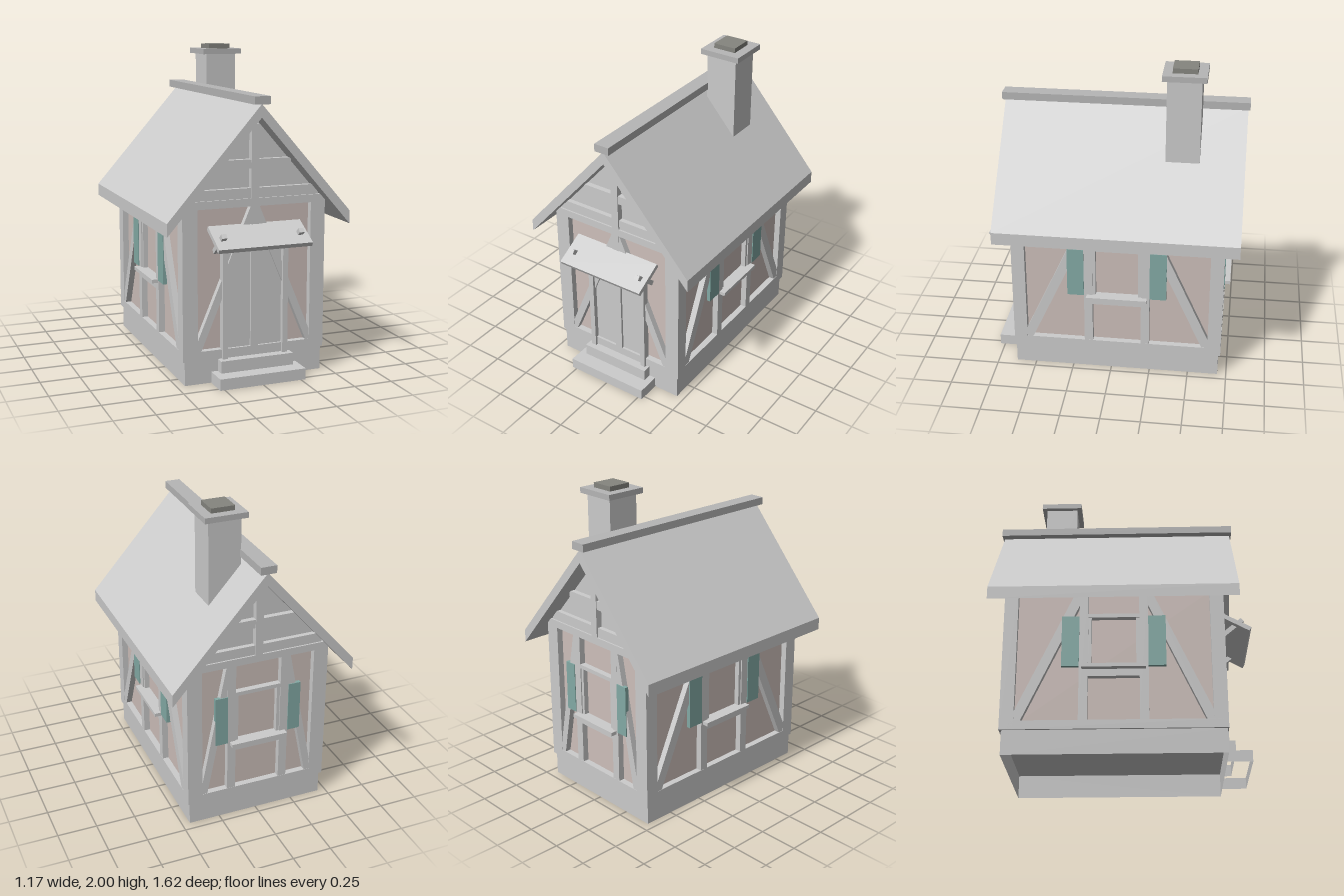
import * as THREE from 'three';

const grey = new THREE.MeshStandardMaterial({ color: 0xcccccc });
const shell = new THREE.MeshStandardMaterial({ color: 0xcccccc, side: THREE.DoubleSide });
const plaster = new THREE.MeshStandardMaterial({ color: 0xcdbfba });
const teal = new THREE.MeshStandardMaterial({ color: 0x83aaa5 });
const capGrey = new THREE.MeshStandardMaterial({ color: 0xb6b6b6 });
const sootGrey = new THREE.MeshStandardMaterial({ color: 0x85857f });

function add(parent, name, geo, mat = grey) {
  const mesh = new THREE.Mesh(geo, mat);
  mesh.name = name;
  parent.add(mesh);
  return mesh;
}

// Box given by its limits on each axis
function box(parent, name, x0, x1, y0, y1, z0, z1, mat) {
  const geo = new THREE.BoxGeometry(x1 - x0, y1 - y0, z1 - z0);
  geo.translate((x0 + x1) / 2, (y0 + y1) / 2, (z0 + z1) / 2);
  return add(parent, name, geo, mat);
}

// Keep only some sides of a box: 0 +x, 1 -x, 2 top, 3 bottom, 4 front, 5 back
function keepSides(mesh, sides) {
  const index = Array.from(mesh.geometry.index.array);
  mesh.geometry.clearGroups();
  mesh.geometry.setIndex(sides.flatMap(s => index.slice(s * 6, s * 6 + 6)));
}

// Outline in x and y, pushed from z0 to z1
function slab(parent, name, points, z0, z1, mat) {
  const shape = new THREE.Shape(points.map(p => new THREE.Vector2(p[0], p[1])));
  const geo = new THREE.ExtrudeGeometry(shape, { depth: z1 - z0, bevelEnabled: false });
  geo.translate(0, 0, z0);
  return add(parent, name, geo, mat);
}

// Slanted timber with level ends; w is its horizontal width
function brace(parent, xa, ya, xb, yb, w) {
  slab(parent, 'brace', [[xa - w / 2, ya], [xa + w / 2, ya], [xb + w / 2, yb], [xb - w / 2, yb]], -0.045, -0.002);
}

// Outer timber frame of one wall; its outside face is local z = 0
function frame(wall, half, post, topY0, topY1) {
  for (const s of [-1, 1]) {
    const a = s * half, b = s * (half - post);
    box(wall, 'cornerPost', Math.min(a, b), Math.max(a, b), 0.15, 1.09, -0.05, 0);
  }
  box(wall, 'sillBeam', -half, half, 0.15, 0.205, -0.05, 0);
  box(wall, 'topBeam', -half, half, topY0, topY1, -0.05, 0);
}

// Window bay: inner posts, window frame, ledge, shutters and braces
function windowBay(wall, mid, shutterW, footX, headX, braceW) {
  const inn = mid - 0.027, out = mid + 0.027;
  for (const s of [-1, 1]) {
    const span = (name, a, b, y0, y1, z0, z1, mat) =>
      box(wall, name, Math.min(s * a, s * b), Math.max(s * a, s * b), y0, y1, z0, z1, mat);
    span('innerPost', inn, out, 0.2, 1.08, -0.045, -0.001);
    span('windowJamb', inn - 0.02, inn, 0.545, 0.89, -0.045, -0.008);
    span('shutter', out, out + shutterW, 0.545, 0.872, -0.02, 0.004, teal);
    brace(wall, s * footX, 0.2, s * headX, 1.08, braceW);
  }
  box(wall, 'windowLintel', -inn, inn, 0.865, 0.89, -0.045, -0.001);
  box(wall, 'windowRail', -inn, inn, 0.48, 0.53, -0.045, -0.001);
  box(wall, 'windowLedge', -mid - 0.01, mid + 0.01, 0.525, 0.548, -0.04, 0.038);
}

function makeWall(house, name, x, z, angle) {
  const wall = new THREE.Group();
  wall.name = name;
  wall.position.set(x, 0, z);
  wall.rotation.y = angle;
  house.add(wall);
  return wall;
}

// Timbers inside the gable triangle
function gable(wall) {
  box(wall, 'gableTie', -0.42, 0.42, 1.12, 1.182, -0.045, -0.01);
  box(wall, 'gableCollar', -0.233, 0.233, 1.3, 1.355, -0.045, -0.006);
  box(wall, 'gablePost', -0.025, 0.025, 1.12, 1.565, -0.045, 0);
}

export function createModel() {
  const house = new THREE.Group();
  house.name = 'cottage';
  const front = 0.635, back = -0.708, midZ = (front + back) / 2;

  // Hollow plinth under a floor, plastered core and gable infill
  keepSides(box(house, 'plinth', -0.45, 0.45, 0, 0.15, -0.694, 0.628, shell), [0, 1, 4, 5]);
  box(house, 'floor', -0.449, 0.449, 0.148, 0.16, -0.693, 0.627);
  box(house, 'plasterWalls', -0.423, 0.423, 0.155, 1.08, back + 0.04, front - 0.04, plaster);
  slab(house, 'gableInfill', [[-0.423, 1.08], [0.423, 1.08], [0.42, 1.15], [0, 1.63], [-0.42, 1.15]],
    back + 0.04, front - 0.04);

  // Long side walls
  for (const s of [-1, 1]) {
    const wall = makeWall(house, 'sideWall', s * 0.463, midZ, s * Math.PI / 2);
    frame(wall, 0.6715, 0.085, 1.04, 1.09);
    windowBay(wall, 0.182, 0.106, 0.583, 0.181, 0.066);
  }

  // Back wall
  const backWall = makeWall(house, 'backWall', 0, back, Math.PI);
  frame(backWall, 0.463, 0.095, 1.072, 1.12);
  windowBay(backWall, 0.175, 0.08, 0.36, 0.185, 0.048);
  gable(backWall);

  // Front wall with door and braces
  const frontWall = makeWall(house, 'frontWall', 0, front, 0);
  frame(frontWall, 0.463, 0.095, 1.072, 1.12);
  gable(frontWall);
  box(frontWall, 'door', -0.18, 0.18, 0.15, 0.84, -0.045, -0.015);
  box(frontWall, 'middlePost', -0.025, 0.025, 0.2, 1.08, -0.045, 0);
  for (const s of [-1, 1]) {
    brace(frontWall, s * 0.37, 0.205, s * 0.003, 1.075, 0.05);
    box(frontWall, 'doorPost', s * 0.197 - 0.017, s * 0.197 + 0.017, 0.145, 0.87, -0.03, 0.015);
  }

  // Hollow steps: open below, with a tread on top
  const steps = [['lowerStep', 0.28, 0, 0.07, 0.78], ['upperStep', 0.237, 0.07, 0.145, 0.685]];
  for (const [name, half, y0, y1, z1] of steps) {
    keepSides(box(house, name, -half, half, y0, y1, 0.628, z1, shell), [0, 1, 4]);
    keepSides(box(house, name + 'Tread', -half, half, y0, y1, 0.628, z1), [2]);
  }

  // Sloping porch canopy, let into the wall, and its crossing brackets
  const canopy = box(house, 'canopy', -0.3, 0.3, -0.014, 0.014, -0.108, 0.108);
  canopy.position.set(0, 0.904, 0.711);
  canopy.rotation.x = 0.51;
  for (const s of [-1, 1]) {
    const bracket = box(house, 'canopyBracket', -0.016, 0.016, -0.015, 0.015, -0.1, 0.088);
    bracket.position.set(s * 0.248, 0.875, 0.693);
    bracket.rotation.x = -0.7;
  }

  // Roof and ridge cap
  slab(house, 'roof', [[0, 1.69], [-0.587, 1.022], [-0.587, 0.942], [0, 1.61], [0.587, 0.942], [0.587, 1.022]],
    -0.8, 0.725);
  box(house, 'ridgeCap', -0.05, 0.05, 1.688, 1.736, -0.812, 0.738, capGrey);

  // Chimney
  box(house, 'chimneyStack', 0.044, 0.25, 1.402, 1.94, -0.522, -0.312);
  box(house, 'chimneyCap', 0.012, 0.282, 1.935, 1.97, -0.552, -0.283, capGrey);
  box(house, 'chimneyTop', 0.072, 0.222, 1.97, 2, -0.494, -0.342, sootGrey);
  return house;
}
